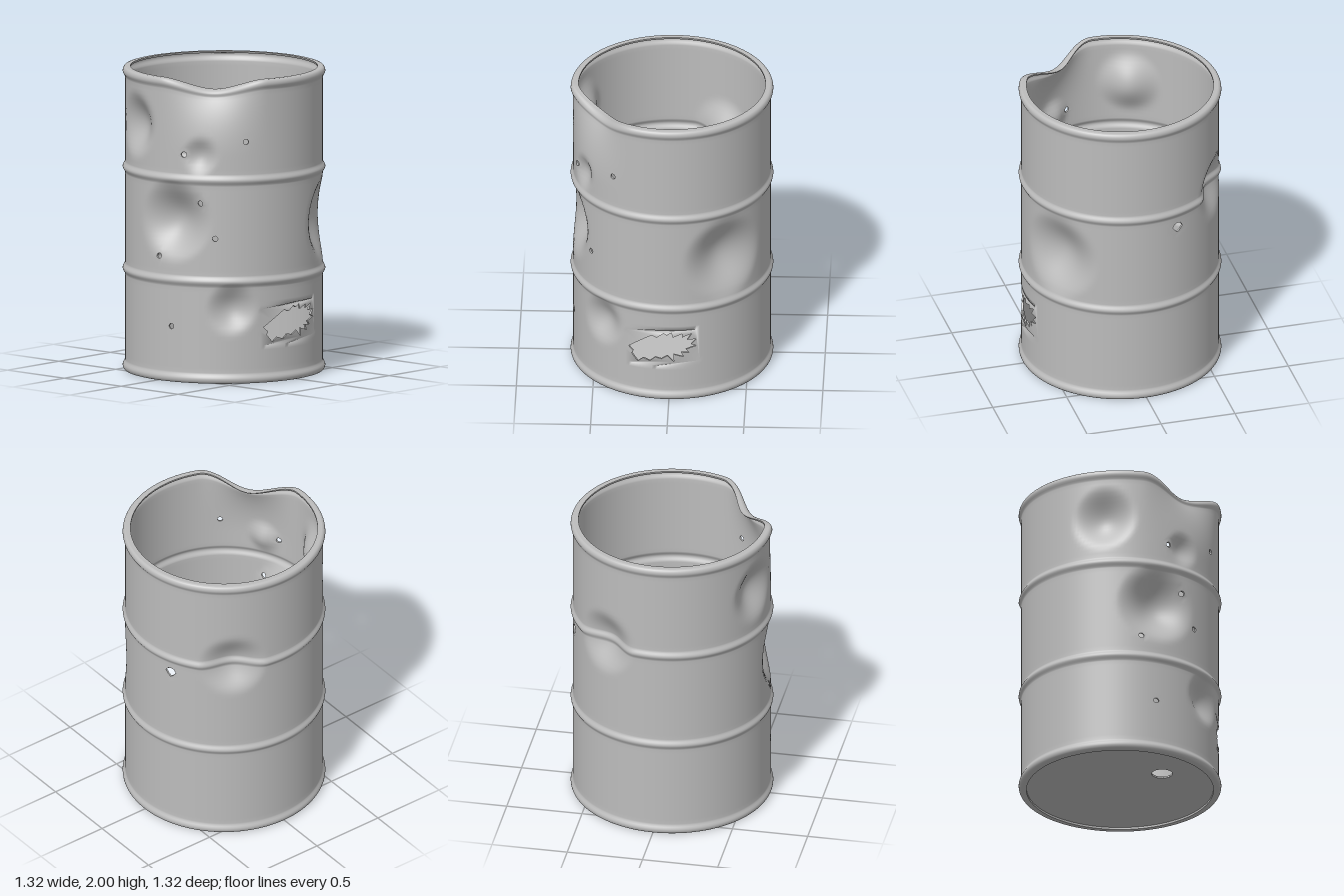
import * as THREE from 'three';
import { mergeVertices } from 'three/addons/utils/BufferGeometryUtils.js';

const STEP = 2, N = 360 / STEP; // angular grid in degrees, 0 = front, 90 = +x
const RADIUS = 0.645, WALL = 0.012;

// Dents: azimuth, height, size, depth
const DENTS = [
  [-21, 1.66, 0.23, 0.088],
  [28, 1.5, 0.13, 0.045],
  [11, 1.06, 0.28, 0.125],
  [47, 0.49, 0.18, 0.065],
  [125, 1.0, 0.31, 0.11],
  [238, 1.35, 0.235, 0.085],
];

// Bullet holes: azimuth, height
const BULLETS = [[18, 1.505], [55, 1.595], [28, 1.185], [37, 0.957], [1, 0.822], [10, 0.366]];

// Ragged tear in the right side: z, y
const TEAR = [
  [0.265, 0.365], [0.205, 0.41], [0.115, 0.47], [0.08, 0.455], [0.035, 0.49], [0.015, 0.475],
  [-0.015, 0.495], [-0.025, 0.46], [-0.085, 0.485], [-0.087, 0.46], [-0.15, 0.485], [-0.12, 0.44],
  [-0.18, 0.44], [-0.145, 0.405], [-0.18, 0.39], [-0.11, 0.37], [-0.13, 0.345], [-0.08, 0.35],
  [-0.095, 0.315], [-0.03, 0.335], [-0.032, 0.28], [0.01, 0.325], [0.05, 0.3], [0.09, 0.31],
  [0.125, 0.28], [0.17, 0.295], [0.205, 0.265], [0.245, 0.315], [0.235, 0.335],
];

// Undented wall radius: two ribs and a rolled bead at each end
function wallRadius(y) {
  const bump = (d, half) => (Math.abs(d) < half ? 0.016 * Math.cos((d / half) * Math.PI / 2) ** 2 : 0);
  const d = Math.min(y, 2 - y);
  if (d < 0.03) return 0.64 + 0.021 * Math.sqrt(Math.max(0, 1 - ((0.03 - d) / 0.03) ** 2));
  return RADIUS + bump(d - 0.03, 0.04) + bump(y - 0.67, 0.04) + bump(y - 1.34, 0.04);
}

// Cylinder coordinates to a point, with all dents applied
function place(deg, y, r) {
  deg = ((deg % 360) + 360) % 360;
  const away = (a) => ((deg - a + 900) % 360) - 180;
  let push = 0;
  for (const [a, h, size, depth] of DENTS) {
    const arc = THREE.MathUtils.degToRad(away(a)) * RADIUS;
    const q = (arc * arc + (y - h) ** 2) / (size * size);
    if (q < 1) push += depth * (1 - q) ** 2;
  }
  // crushed rim
  const t = Math.min(1, Math.abs(away(35)) / 33);
  const crush = (1 - t * t) ** 2 * Math.max(0, 1 - (2 - y) / 0.5) ** 2;
  const a = THREE.MathUtils.degToRad(deg), R = r - push - 0.11 * crush;
  return [R * Math.sin(a), y - 0.075 * crush, R * Math.cos(a)];
}

// Welded smooth geometry from a list of corner points
function smooth(corners) {
  let geo = new THREE.BufferGeometry();
  geo.setAttribute('position', new THREE.Float32BufferAttribute(corners.flat(), 3));
  geo = mergeVertices(geo, 1e-5);
  geo.computeVertexNormals();
  return geo;
}

// Heights of the wall grid, finer at ribs and beads
function wallRows() {
  const ends = [0, 0.002, 0.006, 0.012, 0.02, 0.03, 0.04, 0.05, 0.06, 0.07];
  const rows = [...ends, ...ends.map((d) => 2 - d)];
  for (const c of [0.67, 1.34]) for (let k = -5; k <= 5; k++) rows.push(c + k * 0.008);
  for (const [a, b] of [[0.07, 0.63], [0.71, 1.3], [1.38, 1.93]]) {
    for (let k = 1; k < 19; k++) rows.push(a + ((b - a) * k) / 19);
  }
  return rows.sort((p, q) => p - q);
}

// Outlines of all wall openings as azimuth, height
function wallOpenings() {
  const arcDeg = 180 / (Math.PI * RADIUS);
  const round = (a, y, radii) => radii.map((r, k) => {
    const t = (k / radii.length) * Math.PI * 2;
    return [a + r * arcDeg * Math.cos(t), y + r * Math.sin(t)];
  });
  return [
    ...BULLETS.map(([a, y]) => round(a, y, Array(12).fill(0.018))),
    round(200, 1.235, [0.04, 0.034, 0.028, 0.03, 0.036, 0.03, 0.041, 0.033]),
    TEAR.map(([z, y]) => [90 - THREE.MathUtils.radToDeg(Math.asin(z / RADIUS)), y]),
  ];
}

// Triangles of the wall in azimuth, height, with patches fitted round the openings
function wallTriangles(rows, openings) {
  const tris = [], used = new Set();
  const wrap = (i) => ((i % N) + N) % N;
  for (const hole of openings) {
    const us = hole.map((p) => p[0]), vs = hole.map((p) => p[1]);
    const i0 = Math.floor((Math.min(...us) - 1) / STEP), i1 = Math.ceil((Math.max(...us) + 1) / STEP);
    const low = Math.min(...vs) - 0.005, high = Math.max(...vs) + 0.005;
    const j1 = rows.findIndex((y) => y > high);
    const j0 = rows.findIndex((y) => y > low) - 1;
    for (let i = i0; i < i1; i++) for (let j = j0; j < j1; j++) used.add(wrap(i) + ',' + j);
    const rim = [];
    for (let i = i0; i < i1; i++) rim.push([i, j0]);
    for (let j = j0; j < j1; j++) rim.push([i1, j]);
    for (let i = i1; i > i0; i--) rim.push([i, j1]);
    for (let j = j1; j > j0; j--) rim.push([i0, j]);
    const contour = rim.map(([i, j]) => new THREE.Vector2(i * STEP, rows[j]));
    const inside = hole.map(([u, v]) => new THREE.Vector2(u, v));
    const all = [...contour, ...inside];
    for (const face of THREE.ShapeUtils.triangulateShape(contour, [inside])) {
      const tri = face.map((k) => all[k]);
      if (THREE.ShapeUtils.area(tri) < 0) tri.reverse();
      tris.push(tri.map((p) => [p.x, p.y]));
    }
  }
  for (let i = 0; i < N; i++) {
    for (let j = 0; j < rows.length - 1; j++) {
      if (used.has(i + ',' + j)) continue;
      const a = [i * STEP, rows[j]], b = [(i + 1) * STEP, rows[j]];
      const c = [(i + 1) * STEP, rows[j + 1]], d = [i * STEP, rows[j + 1]];
      tris.push([a, b, c], [a, c, d]);
    }
  }
  return tris;
}

// Ring swept from a profile of radius, height
function ring(profile) {
  const corners = [];
  for (let i = 0; i < N; i++) {
    for (let k = 0; k < profile.length - 1; k++) {
      const at = (n, m) => place((i + n) * STEP, profile[k + m][1], profile[k + m][0]);
      corners.push(at(0, 0), at(1, 0), at(1, 1), at(0, 0), at(1, 1), at(0, 1));
    }
  }
  return smooth(corners);
}

export function createModel() {
  const group = new THREE.Group();
  group.name = 'dentedBarrel';
  const steel = new THREE.MeshStandardMaterial({ color: 0xbcbcbc });
  steel.name = 'greySteel';
  const add = (name, geo) => {
    const mesh = new THREE.Mesh(geo, steel);
    mesh.name = name;
    group.add(mesh);
    return mesh;
  };

  // Wall, outside and inside
  const openings = wallOpenings();
  const tris = wallTriangles(wallRows(), openings);
  const outer = ([u, v]) => place(u, v, wallRadius(v));
  const inner = ([u, v]) => place(u, v, wallRadius(v) - WALL);
  add('outerWall', smooth(tris.flatMap((t) => t.map(outer))));
  add('innerWall', smooth(tris.flatMap(([a, b, c]) => [a, c, b].map(inner))));

  // Cut metal edges of the openings
  const edges = [];
  for (const hole of openings) {
    const loop = THREE.ShapeUtils.area(hole.map(([x, y]) => ({ x, y }))) > 0 ? hole : [...hole].reverse();
    loop.forEach((p, k) => {
      const q = loop[(k + 1) % loop.length];
      edges.push(outer(p), outer(q), inner(q), outer(p), inner(q), inner(p));
    });
  }
  const cut = new THREE.BufferGeometry();
  cut.setAttribute('position', new THREE.Float32BufferAttribute(edges.flat(), 3));
  cut.computeVertexNormals();
  add('holeEdges', cut);

  // Flat lips at both ends
  add('topLip', ring([[0.64, 2], [0.61, 2]]));
  add('topLipInside', ring([[0.61, 2], [0.61, 1.988], [0.634, 1.984]]));
  add('bottomLip', ring([[0.61, 0], [0.64, 0]]));
  add('bottomLipInside', ring([[0.61, 0.02], [0.61, 0]]));

  // Floor with a drain hole
  const disc = new THREE.Shape().absarc(0, 0, 0.628, 0, Math.PI * 2);
  const drain = [];
  for (let k = 0; k < 10; k++) {
    const t = (k / 10) * Math.PI * 2;
    drain.push(new THREE.Vector2(0.225 + 0.07 * Math.cos(t), 0.27 + 0.07 * Math.sin(t)));
  }
  disc.holes.push(new THREE.Path(drain));
  const floor = new THREE.ExtrudeGeometry(disc, { depth: 0.012, bevelEnabled: false, curveSegments: 72 });
  add('floor', floor.rotateX(Math.PI / 2)).position.y = 0.026;

  return group;
}
